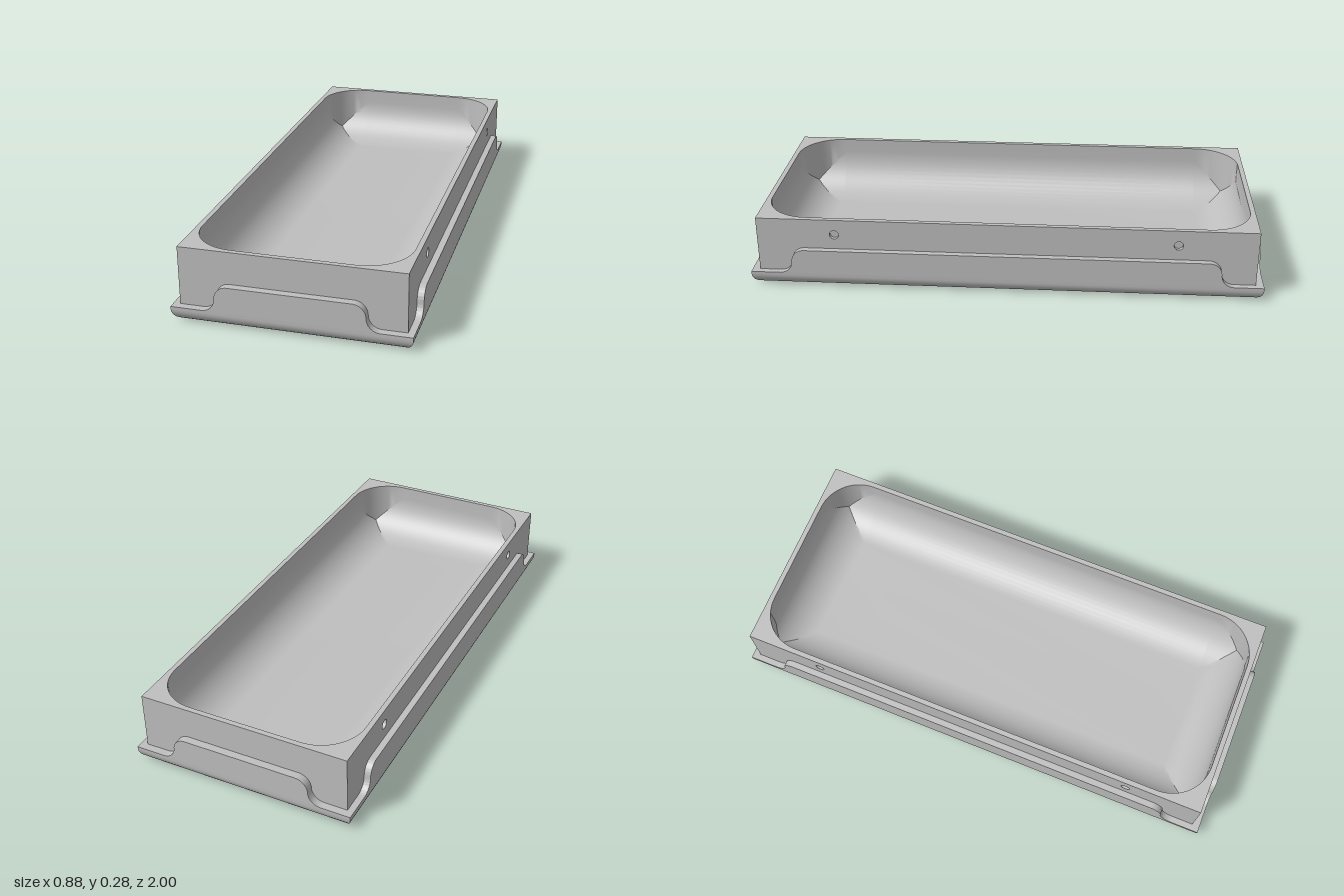
import * as THREE from 'three';
import { toCreasedNormals } from 'three/addons/utils/BufferGeometryUtils.js';

const BODY = { x: 0.415, z: 0.97, y0: 0.06, y1: 0.283 }; // inner block
const BASE = { x: 0.44, z: 1, fillet: 0.05 };            // outer shell
const BASIN = { x: 0.395, z: 0.95, r: 0.17, floor: 0.055 };

// Points round a rounded rectangle, as [x, z]
function roundedRect(hx, hz, r, seg) {
  const pts = [];
  [[1, 1], [-1, 1], [-1, -1], [1, -1]].forEach(([sx, sz], q) => {
    for (let i = 0; i <= seg; i++) {
      const a = (q + i / Math.max(seg, 1)) * Math.PI / 2;
      pts.push([sx * (hx - r) + r * Math.cos(a), sz * (hz - r) + r * Math.sin(a)]);
    }
  });
  return pts;
}

// Skin joining closed rings of [x, y, z] points
function loft(rings) {
  const n = rings[0].length, index = [];
  for (let k = 0; k < rings.length - 1; k++) {
    for (let i = 0; i < n; i++) {
      const j = (i + 1) % n, a = k * n + i, b = k * n + j, c = b + n, d = a + n;
      index.push(a, d, c, a, c, b);
    }
  }
  const geo = new THREE.BufferGeometry();
  geo.setAttribute('position', new THREE.Float32BufferAttribute(rings.flat(2), 3));
  geo.setIndex(index);
  return toCreasedNormals(geo, 0.5);
}

function rectShape(hx, y0, y1) {
  return new THREE.Shape([[-hx, y0], [hx, y0], [hx, y1], [-hx, y1]].map(p => new THREE.Vector2(...p)));
}

// Raised flap with S-curved shoulders
function flapGeometry(half, depth) {
  const r = 0.05, y0 = 0.06, y1 = 0.16, s = new THREE.Shape();
  s.moveTo(-half - 2 * r, y0);
  s.lineTo(half + 2 * r, y0);
  s.absarc(half + 2 * r, y0 + r, r, -Math.PI / 2, -Math.PI, true);
  s.absarc(half, y1 - r, r, 0, Math.PI / 2, false);
  s.absarc(-half, y1 - r, r, Math.PI / 2, Math.PI, false);
  s.absarc(-half - 2 * r, y0 + r, r, 0, -Math.PI / 2, true);
  const geo = new THREE.ExtrudeGeometry(s, { depth, bevelEnabled: false, curveSegments: 10 });
  return toCreasedNormals(geo, 0.5);
}

export function createModel() {
  const model = new THREE.Group();
  model.name = 'tray';
  const grey = new THREE.MeshStandardMaterial({ color: 0xbfbfbf, side: THREE.DoubleSide });
  grey.name = 'grey';
  const add = (parent, name, geo) => {
    const mesh = new THREE.Mesh(geo, grey);
    mesh.name = name;
    parent.add(mesh);
    return mesh;
  };

  // Base pan: flat underside, rounded bottom edge, narrow ledge
  const baseRing = (inset, y) => roundedRect(BASE.x - inset, BASE.z - inset, 0, 0).map(([x, z]) => [x, y, z]);
  const baseRings = [roundedRect(0, 0, 0, 0).map(() => [0, 0, 0])];
  for (let i = 0; i <= 8; i++) {
    const a = i / 8 * Math.PI / 2;
    baseRings.push(baseRing(BASE.fillet * (1 - Math.sin(a)), BASE.fillet * (1 - Math.cos(a))));
  }
  baseRings.push(baseRing(0, BODY.y0));
  baseRings.push(roundedRect(BODY.x, BODY.z, 0, 0).map(([x, z]) => [x, BODY.y0, z]));
  add(model, 'basePan', loft(baseRings));

  // Basin: upright wall, scooped edges mitred at the corners, flat floor
  const R = BASIN.r, seg = 16;
  const scoop = (x, z) => {
    const d = Math.max(0, Math.min(BASIN.x - Math.abs(x), BASIN.z - Math.abs(z), R));
    return BASIN.floor + R - Math.sqrt(Math.max(0, R * R - (R - d) ** 2));
  };
  const opening = roundedRect(BASIN.x, BASIN.z, R, seg);
  const basinRings = [opening.map(([x, z]) => [x, BODY.y1, z])];
  for (let i = 0; i <= 14; i++) {
    const t = R * (1 - Math.cos(i / 14 * Math.PI / 2));
    basinRings.push(roundedRect(BASIN.x - t, BASIN.z - t, R - t, seg).map(([x, z]) => [x, scoop(x, z), z]));
  }
  const spine = BASIN.z - BASIN.x;
  basinRings.push(roundedRect(0, spine, 0, seg).map(([x, z]) => [x, BASIN.floor, z]));
  add(model, 'basin', loft(basinRings));

  // Flat rim around the opening
  const rim = rectShape(BODY.x, -BODY.z, BODY.z);
  rim.holes.push(new THREE.Path(opening.map(([x, z]) => new THREE.Vector2(x, z))));
  add(model, 'rim', new THREE.ShapeGeometry(rim).rotateX(-Math.PI / 2).translate(0, BODY.y1, 0));

  // Ends and long sides, each with its flap; sides have two blind holes
  const holeR = 0.018, holeY = 0.22, holeDepth = 0.015;
  for (const turn of [0, 1]) {
    const end = new THREE.Group();
    end.name = turn ? 'backEnd' : 'frontEnd';
    end.rotation.y = turn * Math.PI;
    add(end, 'endWall', new THREE.ShapeGeometry(rectShape(BODY.x, BODY.y0, BODY.y1))).position.z = BODY.z;
    add(end, 'endFlap', flapGeometry(0.225, BASE.z - BODY.z)).position.z = BODY.z;
    model.add(end);

    const side = new THREE.Group();
    side.name = turn ? 'rightSide' : 'leftSide';
    side.rotation.y = Math.PI / 2 + turn * Math.PI;
    const wall = rectShape(BODY.z, BODY.y0, BODY.y1);
    for (const s of [-1, 1]) {
      wall.holes.push(new THREE.Path().absarc(s * 0.665, holeY, holeR, 0, Math.PI * 2, true));
      const cup = new THREE.LatheGeometry([[0, -holeDepth], [holeR, -holeDepth], [holeR, 0]]
        .map(p => new THREE.Vector2(...p)), 24).rotateX(Math.PI / 2);
      // Winding turned so the recess faces outwards
      cup.index.array.reverse();
      add(side, 'pinHole', toCreasedNormals(cup, 0.5)).position.set(s * 0.665, holeY, BODY.x);
    }
    add(side, 'sideWall', new THREE.ShapeGeometry(wall, 24)).position.z = BODY.x;
    add(side, 'sideFlap', flapGeometry(0.785, BASE.x - BODY.x)).position.z = BODY.x;
    model.add(side);
  }
  return model;
}
